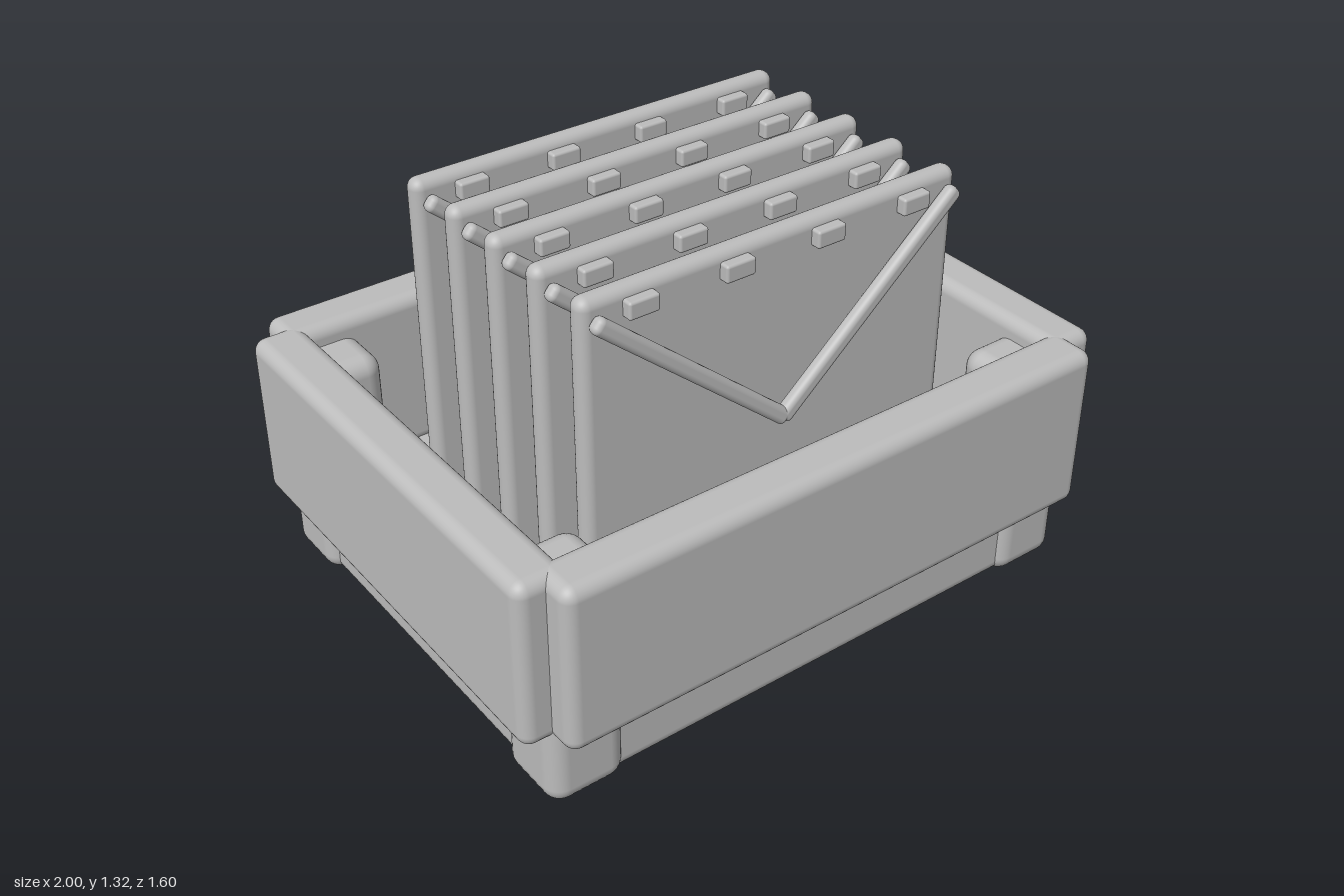
import * as THREE from 'three';
import { RoundedBoxGeometry } from 'three/addons/geometries/RoundedBoxGeometry.js';

export function createModel() {
  const model = new THREE.Group();
  model.name = 'letterCrate';
  const grey = new THREE.MeshStandardMaterial({ color: 0xbcbcbc });
  grey.name = 'plain grey';

  // Rounded block given by its size, corner radius and centre
  function block(parent, name, [w, h, d], radius, [x, y, z]) {
    const mesh = new THREE.Mesh(new RoundedBoxGeometry(w, h, d, 4, radius), grey);
    mesh.name = name;
    mesh.position.set(x, y, z);
    parent.add(mesh);
    return mesh;
  }

  // Floor block
  block(model, 'base', [1.8, 0.26, 1.41], 0.045, [0, 0.133, 0]);

  // Walls and corner posts
  for (const s of [1, -1]) {
    block(model, s > 0 ? 'frontWall' : 'backWall', [1.83, 0.53, 0.16], 0.04, [0, 0.508, s * 0.72]);
    block(model, s > 0 ? 'leftWall' : 'rightWall', [0.16, 0.53, 1.43], 0.04, [s * 0.92, 0.508, 0]);
    for (const t of [1, -1]) {
      block(model, 'cornerPost', [0.24, 0.71, 0.24], 0.055, [s * 0.808, 0.355, t * 0.607]);
    }
  }

  // Envelopes standing in a row
  for (let i = 0; i < 5; i++) {
    const envelope = new THREE.Group();
    envelope.name = 'envelope' + (i + 1);
    envelope.position.z = 0.434 - i * 0.1985;
    model.add(envelope);

    block(envelope, 'panel', [1.256, 1.06, 0.067], 0.032, [0, 0.786, 0]);

    // Flap edges meeting in a V, leaning slightly forward at the tip
    for (const s of [1, -1]) {
      const top = new THREE.Vector3(s * 0.595, 1.258, 0.054);
      const tip = new THREE.Vector3(0, 0.758, 0.066);
      const along = top.clone().sub(tip);
      const strip = block(envelope, 'flapEdge', [0.05, along.length() + 0.02, 0.042], 0.018,
        top.clone().add(tip).multiplyScalar(0.5).toArray());
      strip.quaternion.setFromUnitVectors(new THREE.Vector3(0, 1, 0), along.normalize());
    }

    // Small clasps under the top edge
    for (const x of [-0.455, -0.152, 0.152, 0.455]) {
      block(envelope, 'clasp', [0.095, 0.052, 0.04], 0.008, [x, 1.262, 0.044]);
    }
  }
  return model;
}
